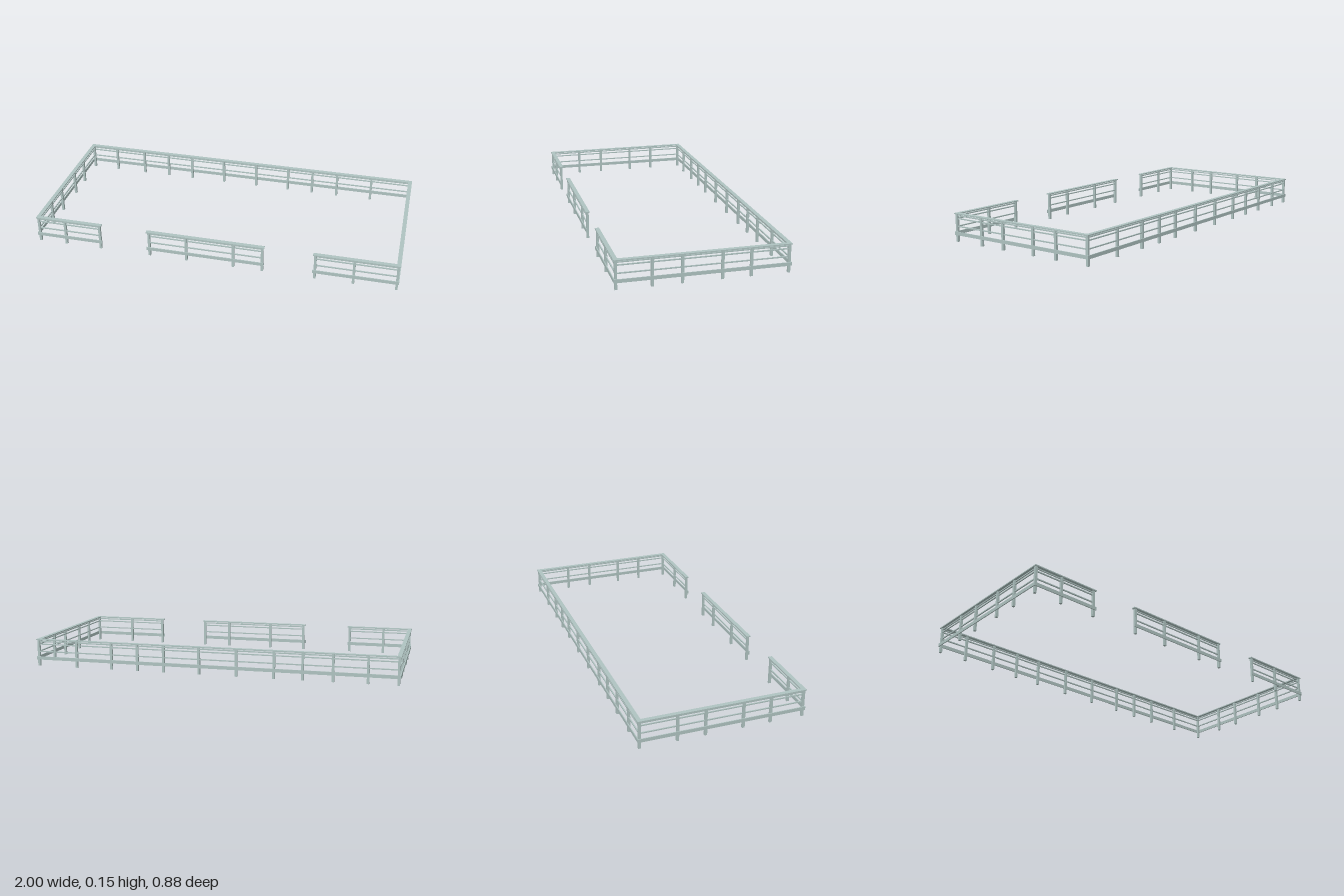
import * as THREE from 'three';

const HALF_X = 0.999, HALF_Z = 0.441;  // outer faces of the enclosure
const INSET = 0.011;                   // outer face to the centre line of a run
const POST = 0.013, CAP = 0.022, PLANK = 0.005;

export function createModel() {
  const group = new THREE.Group();
  group.name = 'railing';
  const paint = new THREE.MeshStandardMaterial({ color: 0xafc3c1 });
  paint.name = 'pale grey green';

  function box(parent, name, w, h, d, x, y, z) {
    const mesh = new THREE.Mesh(new THREE.BoxGeometry(w, h, d), paint);
    mesh.name = name;
    mesh.position.set(x, y, z);
    parent.add(mesh);
  }

  // One straight run along local x, with its outer side facing local +z.
  // trim shortens the cap and base plank where they butt against another run.
  function run(name, from, to, posts, trimCap = 0, trimPlank = 0) {
    const part = new THREE.Group();
    part.name = name;
    const mid = (from + to) / 2, length = to - from;
    box(part, 'capRail', length - 2 * trimCap, 0.006, CAP, mid, 0.148, 0);
    box(part, 'basePlank', length - 2 * trimPlank, 0.018, PLANK, mid, 0.045, INSET - PLANK / 2);
    for (const y of [0.137, 0.122, 0.081])
      box(part, 'thinRail', length - 0.018, 0.006, 0.006, mid, y, 0);
    for (const x of posts) box(part, 'post', POST, 0.145, POST, x, 0.0725, 0);
    group.add(part);
    return part;
  }

  // Front: three runs with two openings between them
  const front = [
    run('frontRightRun', -HALF_X, -0.62, [-0.988, -0.834, -0.633]),
    run('frontMiddleRun', -0.364, 0.287, [-0.35, -0.142, 0.118, 0.276]),
    run('frontLeftRun', 0.546, HALF_X, [0.559, 0.763, 0.988]),
  ];
  for (const part of front) part.position.z = HALF_Z - INSET;

  // Back: one long run, turned to face outward
  const backPosts = [-0.988, -0.834, -0.655, -0.497, -0.345, -0.142,
    0.062, 0.26, 0.409, 0.559, 0.763, 0.988];
  const back = run('backRun', -HALF_X, HALF_X, backPosts.map((x) => -x));
  back.rotation.y = Math.PI;
  back.position.z = -(HALF_Z - INSET);

  // Sides: mirrored runs that share the corner posts
  const sidePosts = [0.254, 0.107, -0.092, -0.237];
  for (const side of [1, -1]) {
    const part = run(side > 0 ? 'leftRun' : 'rightRun', -HALF_Z, HALF_Z,
      sidePosts.map((z) => -side * z), CAP, PLANK);
    part.rotation.y = side * Math.PI / 2;
    part.position.x = side * (HALF_X - INSET);
  }
  return group;
}
